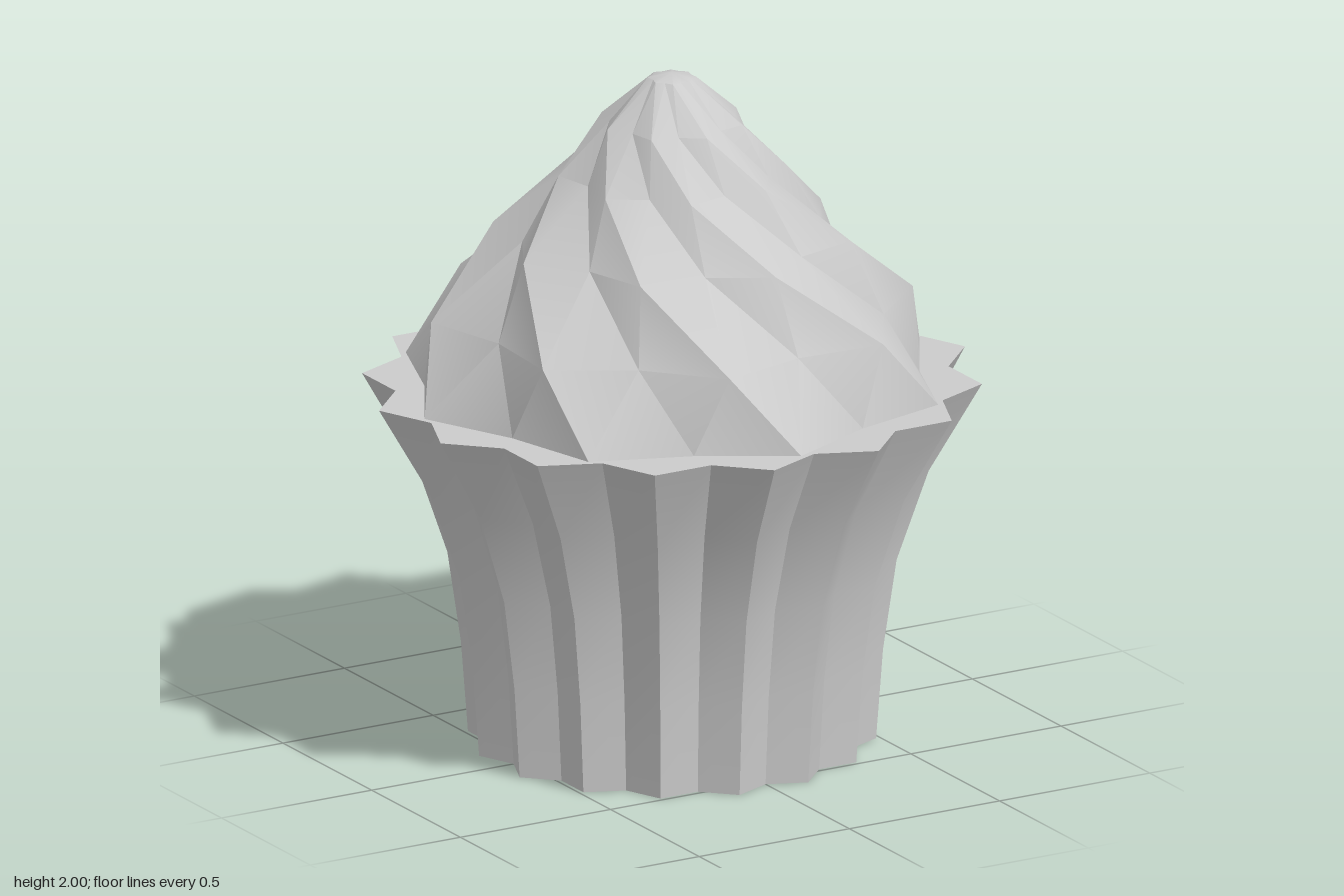
import * as THREE from 'three';
import { toCreasedNormals } from 'three/addons/utils/BufferGeometryUtils.js';

const DEG = Math.PI / 180;

// A star-shaped ring; angles run from the back (-z) towards +x.
function starRing({ y, tip, notch, turn }, points) {
  return Array.from({ length: points * 2 }, (_, i) => {
    const a = turn * DEG + (i * Math.PI) / points;
    const r = i % 2 ? notch : tip;
    return [r * Math.sin(a), y, -r * Math.cos(a)];
  });
}

// Skin a stack of rings, closing each end with a fan where a centre height is given.
function loft(rings, bottomY, topY, crease) {
  const pos = [];
  const tri = (a, b, c) => pos.push(...a, ...b, ...c);
  const n = rings[0].length;
  const last = rings[rings.length - 1];
  for (let i = 0; i < n; i++) {
    const j = (i + 1) % n;
    for (let k = 0; k < rings.length - 1; k++) {
      const low = rings[k], up = rings[k + 1];
      tri(low[i], up[i], low[j]);
      tri(low[j], up[i], up[j]);
    }
    if (bottomY !== null) tri([0, bottomY, 0], rings[0][i], rings[0][j]);
    if (topY !== null) tri([0, topY, 0], last[j], last[i]);
  }
  const g = new THREE.BufferGeometry();
  g.setAttribute('position', new THREE.Float32BufferAttribute(pos, 3));
  return toCreasedNormals(g, crease * DEG);
}

export function createModel() {
  const group = new THREE.Group();
  const material = new THREE.MeshStandardMaterial({ color: 0xcccccc });
  const add = (name, geometry) => {
    const mesh = new THREE.Mesh(geometry, material);
    mesh.name = name;
    group.add(mesh);
  };

  // Pleated wrapper: sixteen pleats flaring towards a flat top
  const flare = [[0, 0.586], [0.27, 0.606], [0.54, 0.645], [0.81, 0.737], [1.075, 0.89]];
  const wrapper = flare.map(([y, r]) =>
    starRing({ y, tip: r, notch: r * 0.9, turn: 11.25 }, 16));
  add('wrapper', loft(wrapper, 0, 1.075, 35));

  // Swirled frosting: eight ridges that twist as they rise
  const swirl = [
    { y: 1.075, tip: 0.8, notch: 0.713, turn: 3 },
    { y: 1.3, tip: 0.71, notch: 0.615, turn: 17 },
    { y: 1.52, tip: 0.52, notch: 0.44, turn: 40.5 },
    { y: 1.705, tip: 0.33, notch: 0.285, turn: 66 },
    { y: 1.86, tip: 0.21, notch: 0.18, turn: 92 },
    { y: 1.985, tip: 0.07, notch: 0.06, turn: 118 },
  ].map((ring) => starRing(ring, 8));
  add('frosting', loft(swirl, null, 2, 30));

  return group;
}
